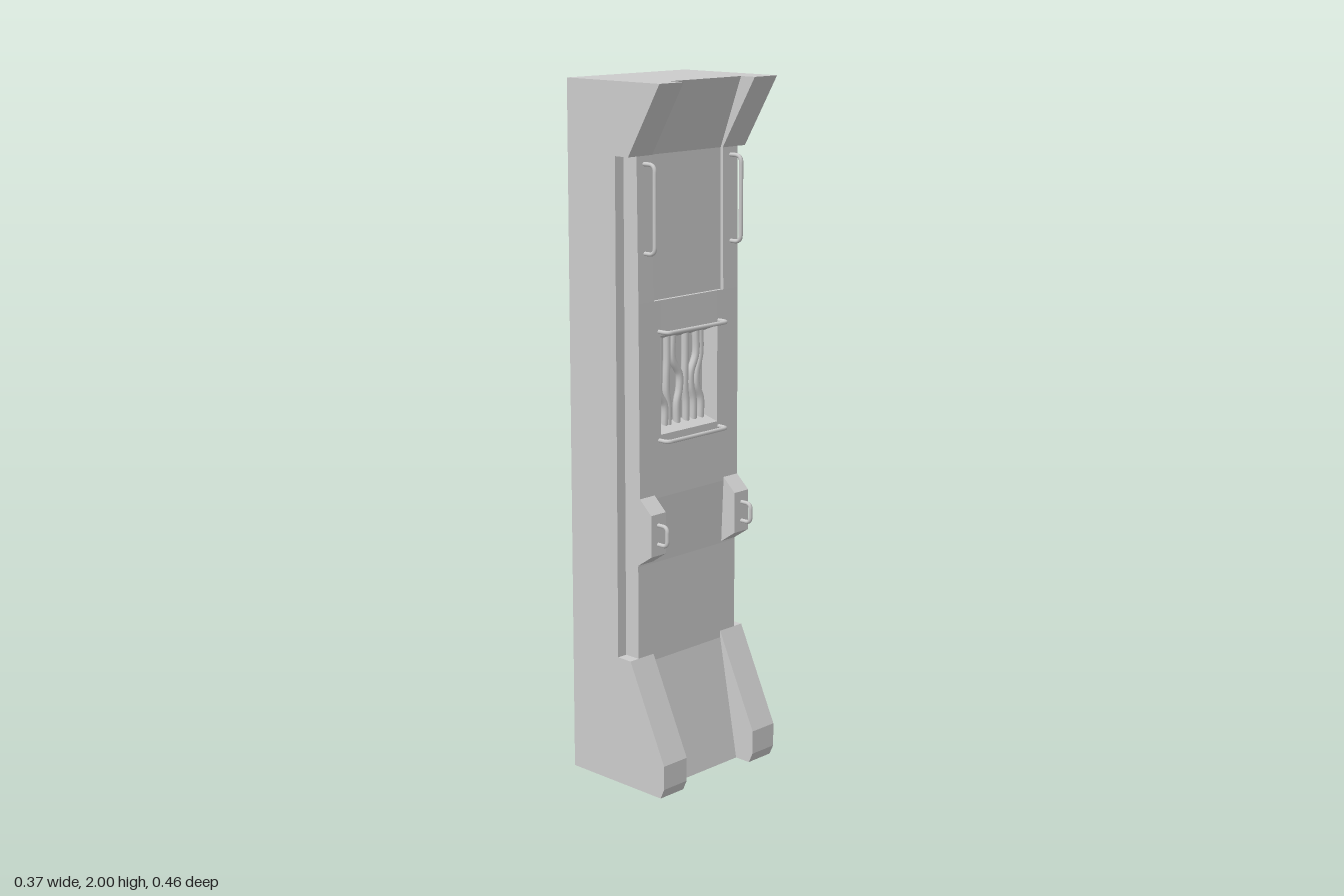
import * as THREE from 'three';

const material = new THREE.MeshStandardMaterial({ color: 0xcccccc, side: THREE.DoubleSide });

function add(parent, name, geometry) {
  const mesh = new THREE.Mesh(geometry, material);
  mesh.name = name;
  parent.add(mesh);
  return mesh;
}

// Extrudes an x/y profile from z0 to z1
function slab(points, z0, z1) {
  const shape = new THREE.Shape(points.map(([x, y]) => new THREE.Vector2(x, y)));
  return new THREE.ExtrudeGeometry(shape, { depth: z1 - z0, bevelEnabled: false }).translate(0, 0, z0);
}

// Bent rod through corner points, with rounded corners
function rod(corners, radius, bend) {
  const p = corners.map((c) => new THREE.Vector3(...c));
  const path = new THREE.CurvePath();
  let start = p[0];
  for (let i = 1; i < p.length - 1; i++) {
    const a = p[i].clone().add(p[i - 1].clone().sub(p[i]).setLength(bend));
    const b = p[i].clone().add(p[i + 1].clone().sub(p[i]).setLength(bend));
    path.add(new THREE.LineCurve3(start, a));
    path.add(new THREE.QuadraticBezierCurve3(a, p[i], b));
    start = b;
  }
  path.add(new THREE.LineCurve3(start, p[p.length - 1]));
  return new THREE.TubeGeometry(path, 64, radius, 8);
}

export function createModel() {
  const model = new THREE.Group();
  model.name = 'wallColumn';
  const back = -0.185;

  // Flared foot and head shared by the ribs and the outer edges
  const foot = [[back, 0], [0.168, 0], [0.182, 0.03], [0.182, 0.1], [0.05, 0.38]];
  const head = [[0.05, 1.8], [0.168, 2], [back, 2]];
  const rib = [...foot, [0.05, 0.65], [0.058, 0.84], [0.055, 1.4], ...head];
  const edge = [...foot, [0, 0.38], [0, 1.8], ...head];

  // Centre profile with the shallow upper panel
  const low = [[back, 0], [0.117, 0], [0.05, 0.36], [0.05, 0.65], [0.058, 0.84]];
  const high = [[0.055, 1.4], [0.044, 1.4], [0.042, 1.8], [0.117, 2], [back, 2]];
  const opening = [[0.057, 1.02], [0.01, 1.04], [0.01, 1.28], [0.056, 1.3]];
  add(model, 'centreWithWindow', slab([...low, ...opening, ...high], -0.115, 0.115));

  for (const s of [-1, 1]) {
    const side = new THREE.Group();
    side.name = s > 0 ? 'leftSide' : 'rightSide';
    model.add(side);
    const strip = (name, profile, a, b) =>
      add(side, name, slab(profile, Math.min(s * a, s * b), Math.max(s * a, s * b)));
    strip('windowPost', [...low, ...high], 0.115, 0.14);
    strip('rib', rib, 0.14, 0.2);
    strip('notchedEdge', edge, 0.2, 0.232);

    // Sloped window jamb
    const jamb = new THREE.Shape([[0.056, 0.115], [0.01, 0.115], [0.01, 0.1]]
      .map(([x, z]) => new THREE.Vector2(x, s * z)));
    add(side, 'windowJamb', new THREE.ExtrudeGeometry(jamb, { depth: 0.28, bevelEnabled: false })
      .rotateX(-Math.PI / 2).translate(0, 1.02, 0));

    // Lug block with its small loop, and the tall grab handle
    strip('lugBlock', [[0.03, 0.65], [0.05, 0.655], [0.102, 0.69], [0.102, 0.81], [0.058, 0.85], [0.03, 0.85]], 0.142, 0.2);
    const z = s * 0.172;
    add(side, 'lugLoop', rod([[0.09, 0.722, z], [0.137, 0.722, z], [0.137, 0.778, z], [0.09, 0.778, z]], 0.006, 0.016));
    add(side, 'grabHandle', rod([[0.04, 1.535, z], [0.091, 1.535, z], [0.091, 1.778, z], [0.04, 1.778, z]], 0.006, 0.02));
  }

  // Bars above and below the window
  for (const y of [1.005, 1.313]) {
    add(model, 'windowBar', rod([[0.04, y, 0.121], [0.09, y, 0.121], [0.09, y, -0.121], [0.04, y, -0.121]], 0.006, 0.015));
  }

  // Cables inside the window: z at the top, middle and bottom
  const cables = [
    [0.085, 0.085, 0.062], [0.052, 0.055, 0.048], [0.03, 0.002, 0.012],
    [-0.022, -0.02, -0.025], [-0.065, -0.045, -0.055], [-0.082, -0.068, -0.085],
  ];
  for (const [top, mid, bottom] of cables) {
    const curve = new THREE.CatmullRomCurve3([
      [1.29, top], [1.22, top], [1.17, mid], [1.13, mid], [1.09, bottom], [1.03, bottom],
    ].map(([y, z]) => new THREE.Vector3(0.018, y, z)));
    add(model, 'cable', new THREE.TubeGeometry(curve, 32, 0.011, 8));
  }
  return model;
}
